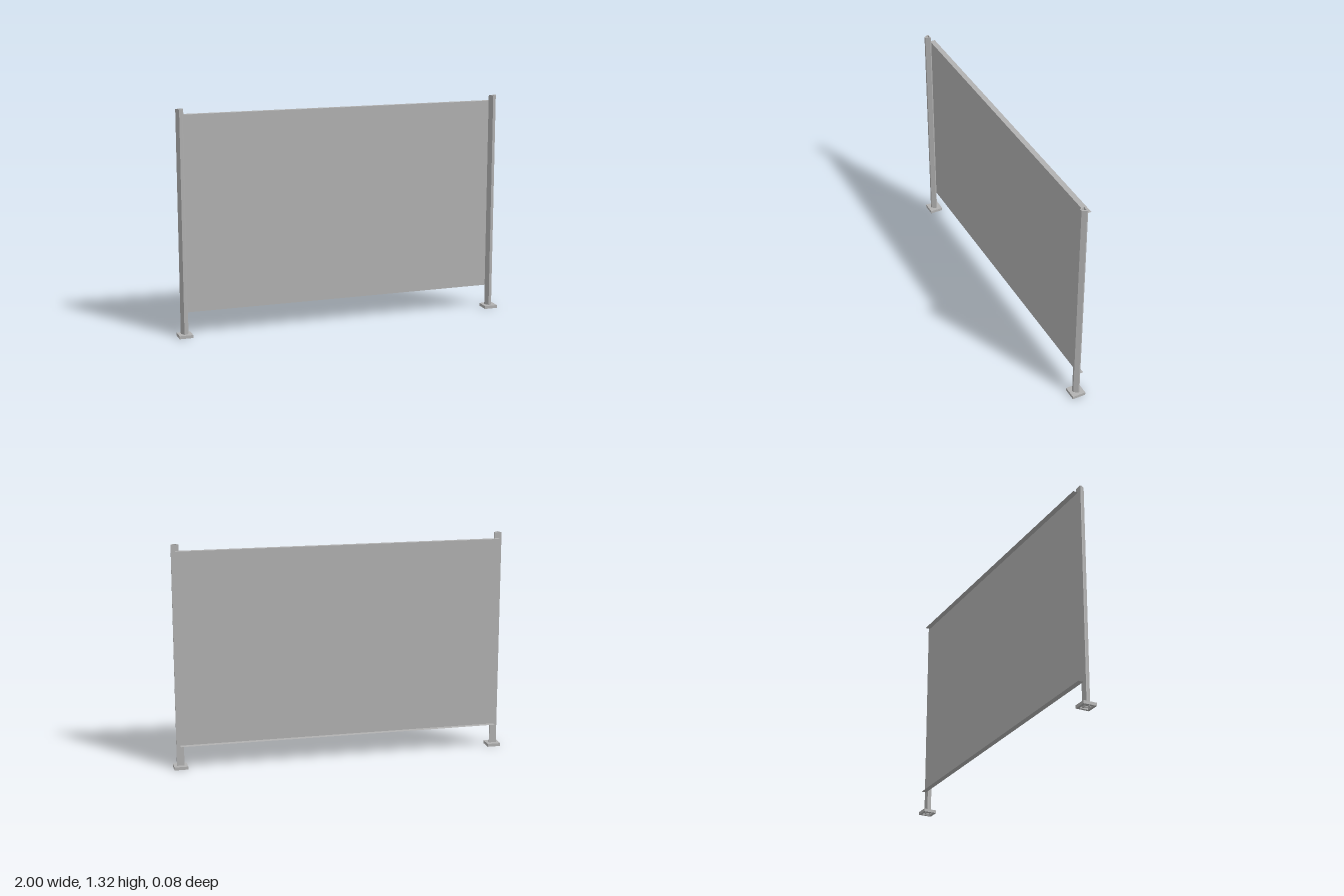
import * as THREE from 'three';

export function createModel() {
  const model = new THREE.Group();
  const metal = new THREE.MeshStandardMaterial({ color: 0xb2b2b2, side: THREE.DoubleSide });
  metal.name = 'grey metal';

  const add = (parent, name, geometry, x = 0, y = 0, z = 0) => {
    const mesh = new THREE.Mesh(geometry, metal);
    mesh.name = name;
    mesh.position.set(x, y, z);
    parent.add(mesh);
    return mesh;
  };

  // Extrudes a plan outline (x, z) upwards, with an optional hole
  const upright = (outer, inner, height) => {
    const toVectors = (pts) => pts.map(([x, z]) => new THREE.Vector2(x, -z));
    const shape = new THREE.Shape(toVectors(outer));
    if (inner) shape.holes.push(new THREE.Path(toVectors(inner)));
    return new THREE.ExtrudeGeometry(shape, { depth: height, bevelEnabled: false }).rotateX(-Math.PI / 2);
  };
  const square = (r) => [[-r, -r], [r, -r], [r, r], [-r, r]];

  // Hollow post section, tapering towards the front
  const postOuter = [[-0.022, -0.009], [0.022, -0.009], [0.022, -0.003], [0.007, 0.022], [-0.007, 0.022], [-0.022, -0.003]];
  const postInner = [[-0.015, -0.005], [0.015, -0.005], [0.004, 0.018], [-0.004, 0.018]];

  for (const side of [-1, 1]) {
    const post = new THREE.Group();
    post.name = side > 0 ? 'leftPost' : 'rightPost';
    post.position.x = side * 0.96;
    add(post, 'postProfile', upright(postOuter, postInner, 1.317), 0, 0.003, 0);
    // Foot: a top plate with a rim below it
    add(post, 'footPlate', new THREE.BoxGeometry(0.08, 0.007, 0.08), 0, 0.0145, 0.002);
    add(post, 'footRim', upright(square(0.04), square(0.026), 0.011), 0, 0, 0.002);
    model.add(post);
  }

  // Sheet panel behind the posts, with its top and bottom edges folded back
  const panel = new THREE.Group();
  panel.name = 'panel';
  const bottom = 0.14, top = 1.285, sheetZ = -0.011, fold = 0.031;
  add(panel, 'panelSheet', new THREE.PlaneGeometry(1.92, top - bottom), 0, (top + bottom) / 2, sheetZ);
  for (const [name, y] of [['topFlange', top], ['bottomFlange', bottom]]) {
    add(panel, name, new THREE.PlaneGeometry(1.92, fold).rotateX(-Math.PI / 2), 0, y, sheetZ - fold / 2);
  }
  model.add(panel);

  return model;
}
